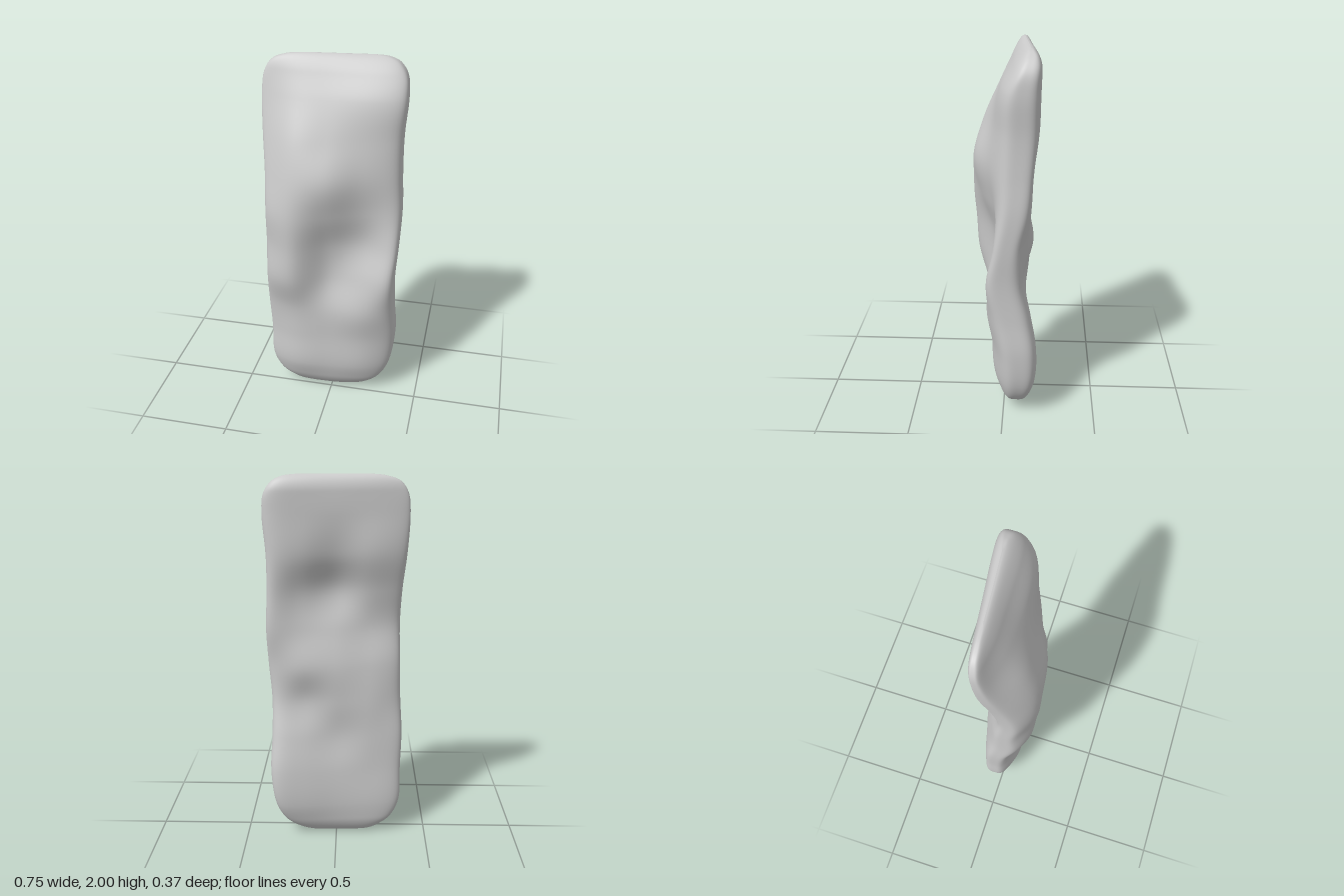
import * as THREE from 'three';

// Height of the front and back faces: rows run up y in steps of 0.2, columns across x from -0.36 to 0.36
const FRONT = [
  [0.0, 0.01, 0.01, -0.01, -0.03],
  [0.04, 0.075, 0.065, 0.05, 0.01],
  [0.045, 0.082, 0.075, 0.065, 0.035],
  [0.07, 0.10, 0.085, 0.095, 0.08],
  [0.13, 0.155, 0.055, 0.065, 0.125],
  [0.12, 0.17, 0.065, 0.025, 0.08],
  [0.135, 0.183, 0.125, 0.055, 0.045],
  [0.09, 0.165, 0.16, 0.08, 0.035],
  [0.035, 0.11, 0.095, 0.055, 0.025],
  [-0.02, 0.02, 0.022, 0.02, 0.01],
  [-0.06, -0.06, -0.07, -0.08, -0.085],
];
const BACK = [
  [-0.09, -0.10, -0.11, -0.12, -0.13],
  [-0.11, -0.12, -0.14, -0.17, -0.195],
  [-0.11, -0.115, -0.135, -0.17, -0.205],
  [-0.10, -0.115, -0.11, -0.14, -0.175],
  [-0.07, -0.115, -0.13, -0.105, -0.13],
  [-0.05, -0.09, -0.14, -0.155, -0.12],
  [-0.025, -0.04, -0.09, -0.13, -0.165],
  [-0.06, -0.065, -0.04, -0.11, -0.19],
  [-0.105, -0.125, -0.115, -0.165, -0.205],
  [-0.115, -0.13, -0.15, -0.175, -0.205],
  [-0.12, -0.135, -0.155, -0.18, -0.205],
];

// Outline as [left x, y, right x]
const OUTLINE = [
  [-0.10, 0, 0.05], [-0.18, 0.01, 0.13], [-0.24, 0.04, 0.21], [-0.31, 0.1, 0.285], [-0.352, 0.2, 0.335],
  [-0.355, 0.4, 0.36], [-0.36, 0.6, 0.352], [-0.35, 0.8, 0.352], [-0.345, 1.0, 0.365],
  [-0.34, 1.2, 0.37], [-0.347, 1.4, 0.36], [-0.365, 1.6, 0.358], [-0.373, 1.8, 0.372],
  [-0.362, 1.9, 0.362], [-0.325, 1.96, 0.325], [-0.25, 1.99, 0.27], [-0.15, 2.0, 0.2],
];

function spline(values, f) {
  const last = values.length - 1;
  const i = Math.min(Math.floor(f), last - 1), t = f - i;
  const at = (k) => values[Math.max(0, Math.min(last, k))];
  const m0 = (at(i + 1) - at(i - 1)) / 2, m1 = (at(i + 2) - at(i)) / 2;
  const t2 = t * t, t3 = t2 * t;
  return (2 * t3 - 3 * t2 + 1) * at(i) + (t3 - 2 * t2 + t) * m0
    + (3 * t2 - 2 * t3) * at(i + 1) + (t3 - t2) * m1;
}

function surface(grid, x, y) {
  const fx = THREE.MathUtils.clamp((x / 0.36 + 1) * 2, 0, 4);
  const fy = THREE.MathUtils.clamp(y / 0.2, 0, 10);
  return spline(grid.map((row) => spline(row, fx)), fy);
}

// Thickness closes to a rounded edge at both ends
function closing(y) {
  const d = Math.min(1, Math.max(0, Math.min(y / 0.1, (2 - y) / 0.08)));
  return Math.sqrt(1 - (1 - d) ** 2);
}

export function createModel() {
  const outline = new THREE.CatmullRomCurve3(OUTLINE.map((p) => new THREE.Vector3(...p)));
  const rows = (OUTLINE.length - 1) * 7, sides = 88;
  const positions = [], index = [];

  // Rounded-rectangle sections stacked from bottom to top
  for (let r = 0; r <= rows; r++) {
    const { x: left, y, z: right } = outline.getPoint(r / rows);
    const k = closing(y);
    for (let s = 0; s < sides; s++) {
      const a = (s / sides) * Math.PI * 2;
      const c = Math.cos(a), n = Math.sin(a);
      const radius = (c ** 4 + n ** 4) ** -0.25;
      const x = (left + right) / 2 + (c * radius * (right - left)) / 2;
      const front = surface(FRONT, x, y), back = surface(BACK, x, y);
      positions.push(x, y, (front + back) / 2 + (n * radius * k * (front - back)) / 2);
    }
  }
  for (let r = 0; r < rows; r++) {
    for (let s = 0; s < sides; s++) {
      const a = r * sides + s, b = r * sides + ((s + 1) % sides);
      index.push(a, a + sides, b, b, a + sides, b + sides);
    }
  }

  const geometry = new THREE.BufferGeometry();
  geometry.setAttribute('position', new THREE.Float32BufferAttribute(positions, 3));
  geometry.setIndex(index);
  geometry.computeVertexNormals();

  const slab = new THREE.Mesh(geometry, new THREE.MeshStandardMaterial({ color: 0xcccccc }));
  slab.name = 'wavySlab';
  const group = new THREE.Group();
  group.name = 'dentedSlab';
  group.add(slab);
  return group;
}
